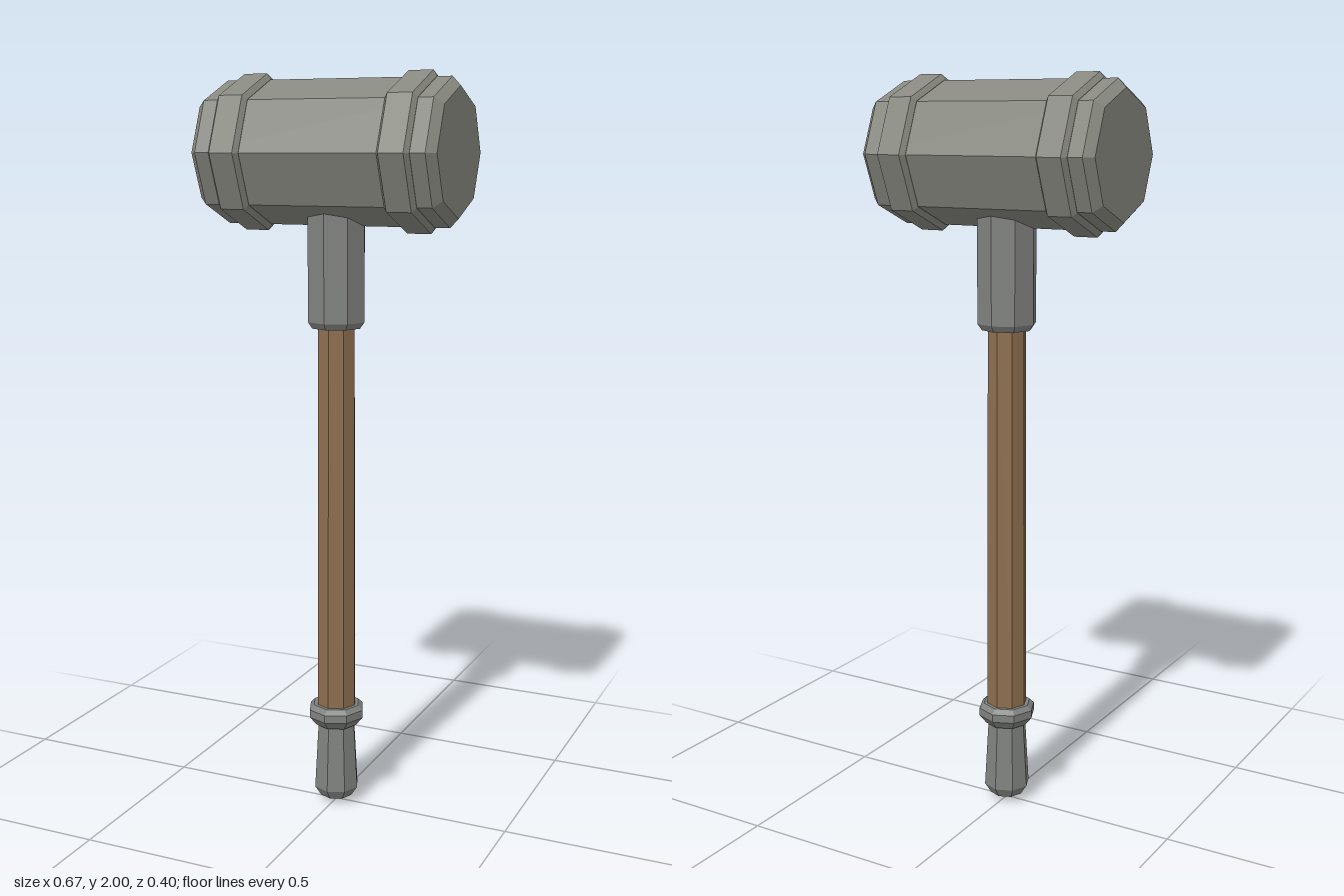
import * as THREE from 'three';

const stone = new THREE.MeshStandardMaterial({ color: 0x87887f });
stone.name = 'stone grey';
const iron = new THREE.MeshStandardMaterial({ color: 0x80827f });
iron.name = 'iron grey';
const wood = new THREE.MeshStandardMaterial({ color: 0x8c6e4f });
wood.name = 'brown wood';

// Faceted eight-sided turning from [radius, height] points, listed bottom to top
function turned(name, profile, material) {
  const points = profile.map(([r, y]) => new THREE.Vector2(r, y));
  const geometry = new THREE.LatheGeometry(points, 8).toNonIndexed();
  geometry.computeVertexNormals();
  const mesh = new THREE.Mesh(geometry, material);
  mesh.name = name;
  return mesh;
}

export function createModel() {
  const model = new THREE.Group();
  model.name = 'hammer';

  // Head, lying along x
  const head = new THREE.Group();
  head.name = 'head';
  head.add(turned('headBlock', [
    [0, -0.336], [0.163, -0.336], [0.186, -0.314],
    [0.186, 0.314], [0.163, 0.336], [0, 0.336],
  ], stone));
  for (const side of [-1, 1]) {
    const band = turned(side > 0 ? 'leftBand' : 'rightBand', [
      [0.18, -0.043], [0.187, -0.043], [0.202, -0.033],
      [0.202, 0.033], [0.187, 0.043], [0.18, 0.043],
    ], stone);
    band.position.y = side * 0.231;
    head.add(band);
  }
  head.rotation.z = -Math.PI / 2;
  head.position.y = 1.798;
  model.add(head);

  // Socket under the head
  model.add(turned('socket', [
    [0, 1.345], [0.068, 1.345], [0.08, 1.362], [0.08, 1.7], [0, 1.7],
  ], iron));

  // Slightly tapered shaft
  model.add(turned('shaft', [[0.056, 0.25], [0.052, 1.36]], wood));

  // Collar and pommel
  model.add(turned('collar', [
    [0, 0.232], [0.06, 0.232], [0.079, 0.256],
    [0.079, 0.278], [0.066, 0.291], [0, 0.291],
  ], iron));
  model.add(turned('pommel', [
    [0, 0], [0.046, 0.018], [0.064, 0.046], [0.053, 0.24],
  ], iron));

  return model;
}
